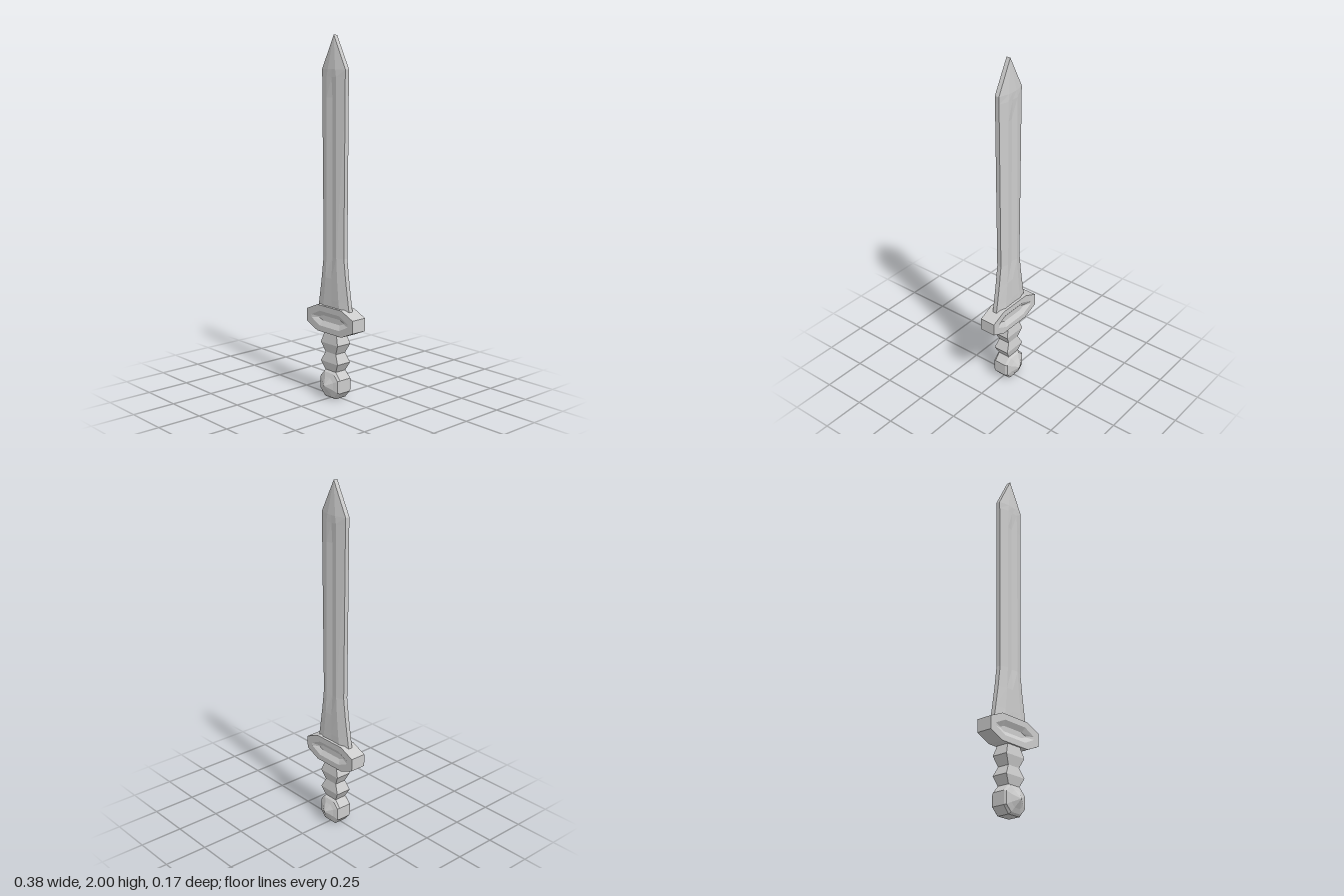
import * as THREE from 'three';

const material = new THREE.MeshStandardMaterial({ color: 0xcccccc, flatShading: true });

// Skin a list of equal-length rings (counter-clockwise seen from the far end) and cap both ends.
function loft(name, rings) {
  const pos = [];
  const tri = (...pts) => pts.forEach((p) => pos.push(...p));
  const n = rings[0].length;
  for (let i = 0; i < rings.length - 1; i++) {
    for (let j = 0; j < n; j++) {
      const k = (j + 1) % n;
      const [a, b, c, d] = [rings[i][j], rings[i][k], rings[i + 1][k], rings[i + 1][j]];
      tri(a, b, c);
      tri(a, c, d);
    }
  }
  const cap = (ring, flip) => {
    const mid = [0, 1, 2].map((q) => ring.reduce((s, p) => s + p[q], 0) / n);
    ring.forEach((p, j) => {
      const next = ring[(j + 1) % n];
      if (flip) tri(mid, next, p);
      else tri(mid, p, next);
    });
  };
  cap(rings[0], true);
  cap(rings[rings.length - 1], false);
  const geometry = new THREE.BufferGeometry();
  geometry.setAttribute('position', new THREE.Float32BufferAttribute(pos, 3));
  geometry.computeVertexNormals();
  const mesh = new THREE.Mesh(geometry, material);
  mesh.name = name;
  return mesh;
}

// Chamfered rectangle in the xy plane: half width w, half flat f, half height h, half side s.
const octagon = (w, f, h, s, y, z) =>
  [[w, -s], [w, s], [f, h], [-f, h], [-w, s], [-w, -s], [-f, -h], [f, -h]].map(([px, py]) => [px, y + py, z]);

// Blade section: edge half width w and thickness e, ridges at (r, t), centre thickness g.
const bladeRing = ([y, w, e, r, t, g]) =>
  [[w, e], [w, -e], [r, -t], [0, -g], [-r, -t], [-w, -e], [-w, e], [-r, t], [0, g], [r, t]].map(([x, z]) => [x, y, z]);

// Rectangular grip section.
const gripRing = ([y, w, d]) => [[w, y, d], [w, y, -d], [-w, y, -d], [-w, y, d]];

export function createModel() {
  const model = new THREE.Group();
  model.name = 'sword';

  // Flared double-edged blade with a shallow central groove
  model.add(loft('blade', [
    [0.5, 0.127, 0.013, 0.07, 0.033, 0.03],
    [0.56, 0.117, 0.013, 0.06, 0.032, 0.031],
    [0.68, 0.098, 0.013, 0.048, 0.031, 0.03],
    [0.8, 0.083, 0.013, 0.04, 0.03, 0.022],
    [1.67, 0.091, 0.013, 0.038, 0.03, 0.022],
    [1.78, 0.092, 0.013, 0.037, 0.03, 0.028],
    [1.82, 0.093, 0.013, 0.03, 0.029, 0.029],
    [2.0, 0, 0.012, 0, 0.012, 0.012],
  ].map(bladeRing)));

  // Guard with a sunken panel on each face
  const guardHalf = [
    octagon(0.1, 0.07, 0.015, 0.003, 0.445, 0.03),
    octagon(0.15, 0.08, 0.042, 0.008, 0.445, 0.047),
    octagon(0.19, 0.1, 0.075, 0.036, 0.445, 0.047),
  ];
  const mirrorZ = (ring) => ring.map(([x, y, z]) => [x, y, -z]);
  model.add(loft('guard', [...guardHalf.map(mirrorZ), ...[...guardHalf].reverse()]));

  // Grip with two angular swellings
  model.add(loft('grip', [
    [0.14, 0.042, 0.036],
    [0.155, 0.042, 0.036],
    [0.205, 0.07, 0.047],
    [0.258, 0.042, 0.035],
    [0.312, 0.07, 0.047],
    [0.38, 0.045, 0.035],
  ].map(gripRing)));

  // Eight-sided pommel with a pointed boss on each face
  const pommelHalf = [
    octagon(0.078, 0.042, 0.078, 0.037, 0.078, 0.036),
    octagon(0.071, 0.036, 0.068, 0.034, 0.078, 0.048),
    octagon(0.045, 0.021, 0.045, 0.021, 0.078, 0.059),
    octagon(0, 0, 0, 0, 0.078, 0.086),
  ];
  model.add(loft('pommel', [...[...pommelHalf].reverse().map(mirrorZ), ...pommelHalf]));

  return model;
}
